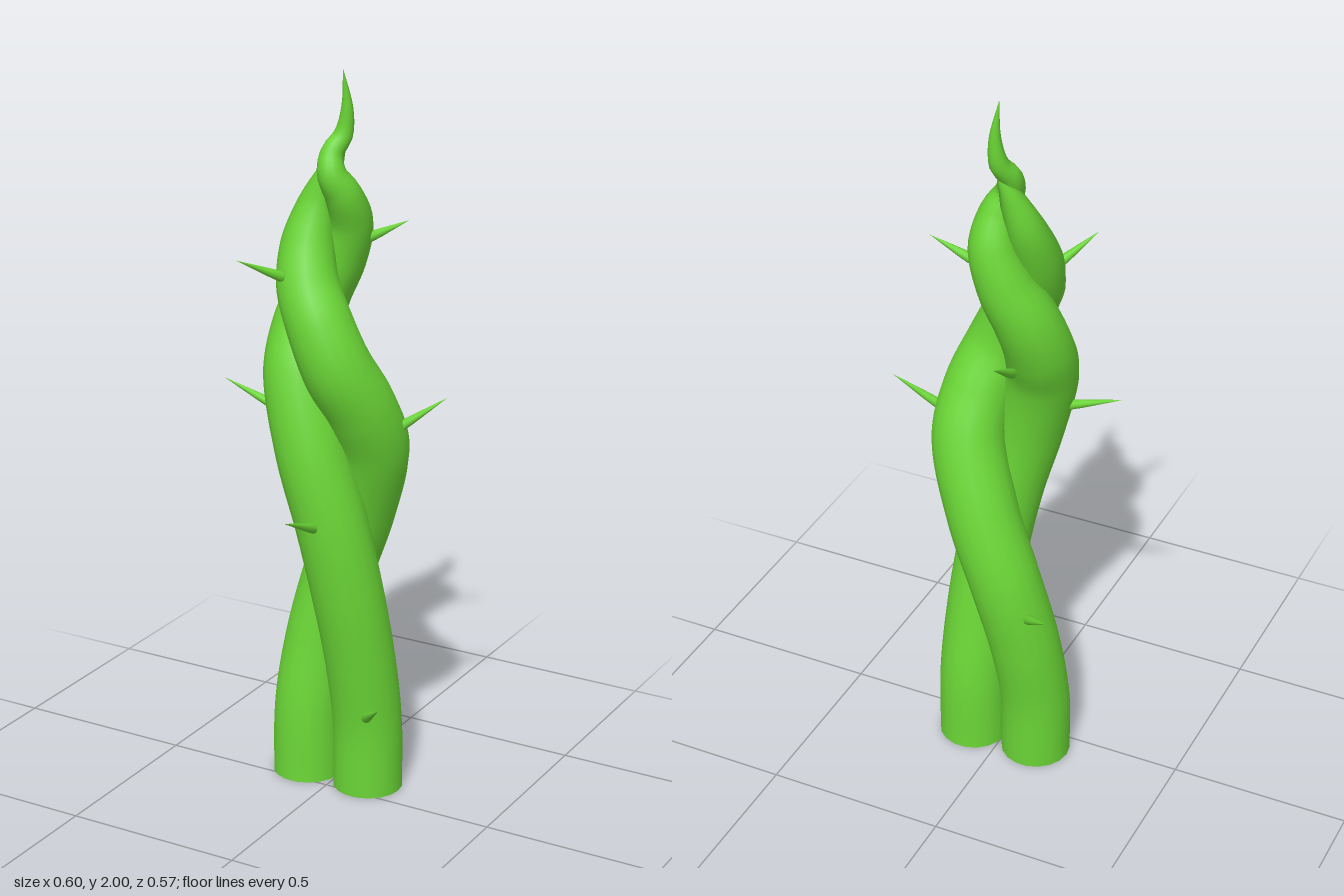
import * as THREE from 'three';

const SIDES = 18, STEPS = 110;

// Stations of each stem: x, y, z, radius
const STEM_A = [
  [0.093, 0, -0.07, 0.097], [0.093, 0.2, -0.065, 0.097], [0.085, 0.4, -0.035, 0.097],
  [0.065, 0.6, 0, 0.098], [0.03, 0.8, 0.026, 0.098], [-0.025, 1, 0.035, 0.098],
  [-0.078, 1.2, 0.005, 0.098], [-0.088, 1.3, -0.04, 0.092], [-0.068, 1.4, -0.078, 0.087],
  [-0.02, 1.5, -0.098, 0.076], [0.015, 1.6, -0.093, 0.065], [0.015, 1.68, -0.06, 0.05],
  [-0.008, 1.735, -0.042, 0.039], [-0.018, 1.785, -0.06, 0.031], [0, 1.83, -0.088, 0.026],
  [0.008, 1.9, -0.094, 0.016], [0, 2, -0.087, 0.0005],
];
const STEM_B = [
  [-0.1, 0, -0.07, 0.097], [-0.1, 0.2, -0.078, 0.097], [-0.08, 0.4, -0.108, 0.097],
  [-0.035, 0.6, -0.133, 0.097], [0.037, 0.8, -0.122, 0.098], [0.098, 1, -0.075, 0.1],
  [0.092, 1.12, -0.02, 0.098], [0.052, 1.24, 0.035, 0.095], [0.005, 1.35, 0.042, 0.09],
  [-0.045, 1.45, 0.018, 0.084], [-0.066, 1.55, -0.022, 0.073], [-0.058, 1.65, -0.06, 0.053],
  [-0.03, 1.73, -0.075, 0.034], [0, 1.79, -0.085, 0.008],
];
// Thorns: base point, tip point
const THORNS = [
  [[0.14, 0.25, 0.028], [0.235, 0.337, 0.133]],
  [[-0.125, 0.53, -0.182], [-0.233, 0.622, -0.29]],
  [[0.03, 0.81, 0.11], [0.037, 0.885, 0.285]],
  [[-0.14, 1.1, 0.025], [-0.3, 1.157, 0.029]],
  [[0.18, 1.065, -0.07], [0.302, 1.157, -0.114]],
  [[-0.058, 1.265, -0.135], [-0.077, 1.362, -0.285]],
  [[-0.083, 1.48, 0.085], [-0.153, 1.54, 0.195]],
  [[0.065, 1.56, -0.113], [0.172, 1.615, -0.134]],
];

function radiusAt(stations, y) {
  for (let i = 1; i < stations.length; i++) {
    const a = stations[i - 1], b = stations[i];
    if (y <= b[1]) return THREE.MathUtils.mapLinear(Math.max(y, 0), a[1], b[1], a[3], b[3]);
  }
  return stations[stations.length - 1][3];
}

// A tube whose rings are scaled to the tapering radius
function stem(stations, material, name) {
  const group = new THREE.Group();
  group.name = name;
  const curve = new THREE.CatmullRomCurve3(stations.map(([x, y, z]) => new THREE.Vector3(x, y, z)));
  const geometry = new THREE.TubeGeometry(curve, STEPS, 1, SIDES, false);
  const pos = geometry.attributes.position, v = new THREE.Vector3();
  for (let i = 0; i <= STEPS; i++) {
    const c = curve.getPointAt(i / STEPS), r = radiusAt(stations, c.y);
    for (let j = 0; j <= SIDES; j++) {
      const k = i * (SIDES + 1) + j;
      v.fromBufferAttribute(pos, k).sub(c).multiplyScalar(r).add(c);
      pos.setXYZ(k, v.x, i === 0 ? 0 : v.y, v.z);
    }
  }
  const tube = new THREE.Mesh(geometry, material);
  tube.name = name + 'Tube';

  // Flat cut end on the ground
  const [x, , z, r] = stations[0];
  const cut = new THREE.Mesh(new THREE.CircleGeometry(r, SIDES), material);
  cut.name = name + 'CutEnd';
  cut.rotation.x = Math.PI / 2;
  cut.position.set(x, 0, z);
  group.add(tube, cut);
  return group;
}

// A slim spike with a rounded root
function thorn([base, tip], material) {
  const a = new THREE.Vector3(...base), d = new THREE.Vector3(...tip).sub(a), h = d.length();
  const profile = [[0, -0.012], [0.01, -0.007], [0.014, 0.004], [0.011, h * 0.3], [0, h]];
  const mesh = new THREE.Mesh(
    new THREE.LatheGeometry(profile.map(p => new THREE.Vector2(...p)), 10), material);
  mesh.name = 'thorn';
  mesh.position.copy(a);
  mesh.quaternion.setFromUnitVectors(new THREE.Vector3(0, 1, 0), d.normalize());
  return mesh;
}

export function createModel() {
  const model = new THREE.Group();
  model.name = 'twistedThornVine';
  const green = new THREE.MeshStandardMaterial({ color: 0x6bd636 });
  model.add(stem(STEM_A, green, 'longStem'), stem(STEM_B, green, 'shortStem'));
  const thorns = new THREE.Group();
  thorns.name = 'thorns';
  for (const t of THORNS) thorns.add(thorn(t, green));
  model.add(thorns);
  return model;
}
